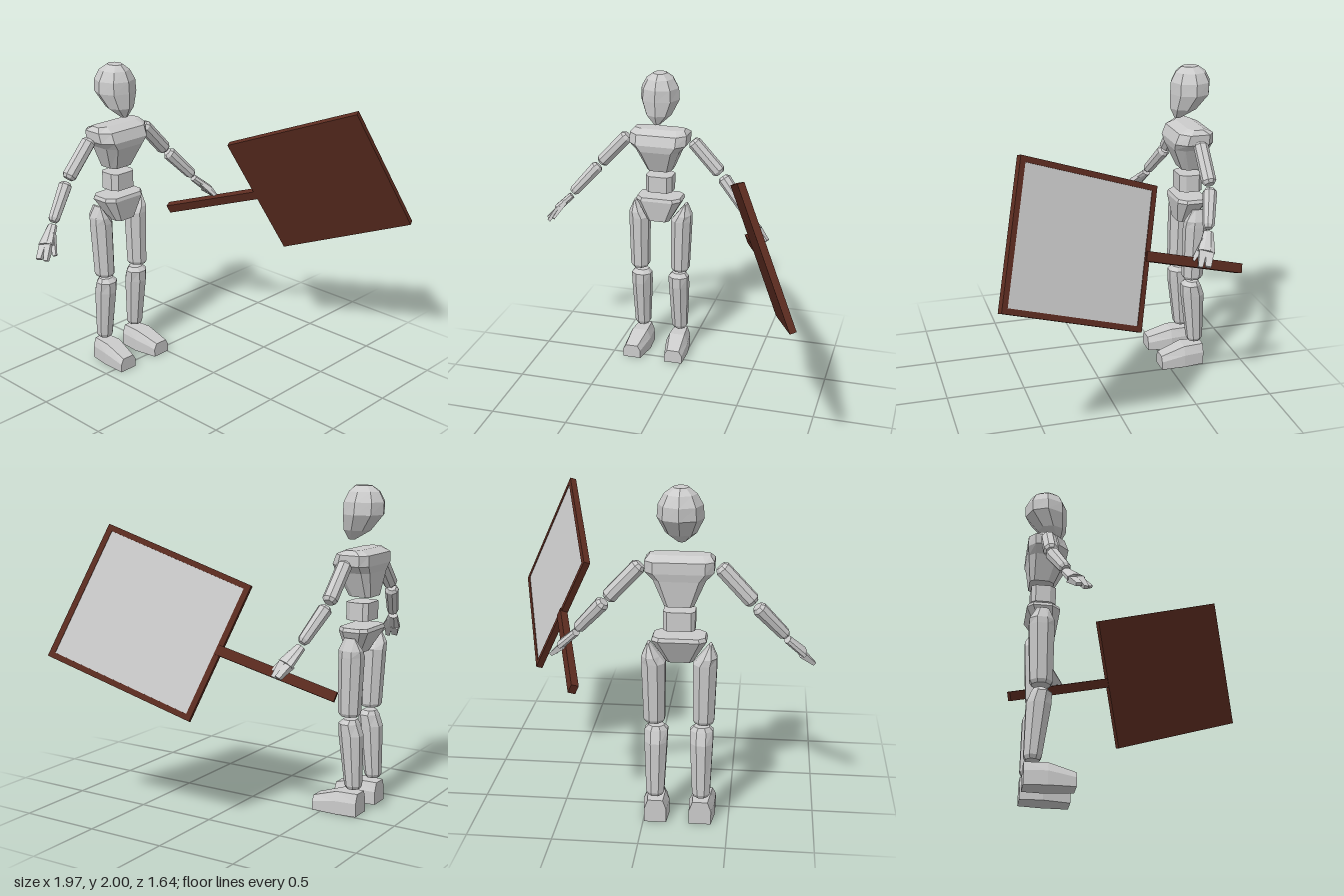
import * as THREE from 'three';

const grey = new THREE.MeshStandardMaterial({ color: 0xcccccc, flatShading: true });
const wood = new THREE.MeshStandardMaterial({ color: 0x5c2c20, flatShading: true });

// Cross-sections in x/z, scaled by each ring
const OCT = [[1, .41], [.41, 1], [-.41, 1], [-1, .41], [-1, -.41], [-.41, -1], [.41, -1], [1, -.41]];
const TORSO = [[1, .5], [.7, 1], [-.7, 1], [-1, .5], [-1, -.65], [-.75, -1], [.75, -1], [1, -.65]];
const BOX = [[1, 1], [-1, 1], [-1, -1], [1, -1]];
const FOOT = [[-1, 0], [-1, -.6], [-.68, -1], [.68, -1], [1, -.6], [1, 0]];
const ROUND = Array.from({ length: 8 }, (_, i) => [Math.cos(i * Math.PI / 4), Math.sin(i * Math.PI / 4)]);

// Closed loft through rings [y, halfX, halfZ, centreX, centreZ]
function loft(name, section, rings) {
  const n = section.length, pos = [], idx = [];
  for (const [y, hx, hz, cx = 0, cz = 0] of rings)
    for (const [x, z] of section) pos.push(cx + x * hx, y, cz + z * hz);
  for (let r = 0; r < rings.length - 1; r++)
    for (let i = 0; i < n; i++) {
      const a = r * n + i, b = r * n + (i + 1) % n;
      idx.push(a, a + n, b, b, a + n, b + n);
    }
  const top = (rings.length - 1) * n;
  for (let i = 1; i < n - 1; i++) idx.push(0, i, i + 1, top, top + i + 1, top + i);
  const g = new THREE.BufferGeometry();
  g.setAttribute('position', new THREE.Float32BufferAttribute(pos, 3));
  g.setIndex(idx);
  const flat = g.toNonIndexed();
  flat.computeVertexNormals();
  const mesh = new THREE.Mesh(flat, grey);
  mesh.name = name;
  return mesh;
}

// Place an object at p with its y axis towards q and its z axis near hint
function aim(obj, p, q, hint) {
  const y = q.clone().sub(p).normalize();
  const z = hint.clone().addScaledVector(y, -hint.dot(y)).normalize();
  const x = new THREE.Vector3().crossVectors(y, z);
  obj.quaternion.setFromRotationMatrix(new THREE.Matrix4().makeBasis(x, y, z));
  obj.position.copy(p);
  return obj;
}

function box(name, size, at, material) {
  const mesh = new THREE.Mesh(new THREE.BoxGeometry(...size), material);
  mesh.name = name;
  mesh.position.set(...at);
  return mesh;
}

function createSide(s) {
  const side = new THREE.Group();
  side.name = s > 0 ? 'leftLimbs' : 'rightLimbs';
  const V = (x, y, z) => new THREE.Vector3(s * x, y, z);

  // Leg
  side.add(loft('thigh', OCT, [
    [.62, .05, .054, s * .143, -.655], [.64, .061, .066, s * .143, -.655],
    [.99, .068, .075, s * .148, -.665], [1.03, .052, .072, s * .163, -.667],
    [1.105, .008, .035, s * .177, -.665]]));
  side.add(loft('shin', OCT, [
    [.163, .04, .04, s * .135, -.685], [.185, .052, .051, s * .135, -.685],
    [.5, .066, .072, s * .133, -.663], [.572, .067, .06, s * .132, -.65],
    [.598, .045, .04, s * .132, -.658]]));
  const foot = loft('foot', FOOT, [
    [-.735, .065, .14, s * .132], [-.6, .078, .14, s * .136], [-.44, .062, .09, s * .15]]);
  foot.rotation.x = Math.PI / 2;
  side.add(foot);

  // Arm segments with bevelled ends
  const limb = (name, p, q, r0, r1) => {
    const L = p.distanceTo(q);
    side.add(aim(loft(name, OCT, [
      [0, r0 * .65, r0 * .65], [.02, r0, r0], [L - .02, r1, r1], [L, r1 * .65, r1 * .65]]),
    p, q, new THREE.Vector3(0, 0, 1)));
  };
  limb('upperArm', V(.222, 1.56, -.652), V(.415, 1.352, -.648), .043, .043);
  limb('forearm', V(.432, 1.33, -.645), V(.6, 1.14, -.578), .041, .034);

  // Hand: palm, two finger blocks and thumb
  const hint = V(-.35, .3, .85);
  const block = (name, section, p, q, t0, w0, t1, w1) => {
    const L = p.distanceTo(q);
    side.add(aim(loft(name, section, [[0, t0, w0], [L, t1, w1]]), p, q, hint));
  };
  block('palm', OCT, V(.607, 1.118, -.576), V(.7, 1.03, -.53), .022, .03, .024, .052);
  block('fingers', BOX, V(.69, 1.03, -.555), V(.765, .96, -.52), .02, .026, .01, .018);
  block('fingers', BOX, V(.685, 1.04, -.515), V(.745, .955, -.478), .02, .024, .01, .014);
  block('thumb', BOX, V(.645, 1.08, -.54), V(.7, .985, -.447), .016, .022, .008, .011);
  return side;
}

function createFigure() {
  const figure = new THREE.Group();
  figure.name = 'figure';
  figure.position.x = -.204;
  figure.add(loft('head', ROUND, [
    [1.675, .022, .022, 0, -.578], [1.735, .088, .088, 0, -.615], [1.83, .132, .13, 0, -.653],
    [1.905, .126, .13, 0, -.656], [1.965, .092, .1, 0, -.655], [2, .045, .055, 0, -.65]]));
  figure.add(loft('chest', TORSO, [
    [1.34, .083, .073, 0, -.668], [1.49, .148, .115, 0, -.642], [1.535, .192, .123, 0, -.643],
    [1.6, .194, .11, 0, -.655], [1.628, .17, .05, 0, -.655]]));
  figure.add(loft('waist', TORSO, [
    [1.195, .09, .075, 0, -.655], [1.305, .09, .075, 0, -.655]]));
  figure.add(loft('pelvis', TORSO, [
    [.99, .075, .05, 0, -.625], [1.135, .157, .1, 0, -.655], [1.157, .148, .093, 0, -.655]]));
  figure.add(createSide(1), createSide(-1));
  return figure;
}

function createPaddle() {
  const paddle = new THREE.Group();
  paddle.name = 'framedPanel';
  const W = .945, H = .862, T = .04, B = .034;

  // Tilted panel: local x runs away from the handle, local z is the grey face
  const panel = new THREE.Group();
  panel.name = 'panel';
  panel.position.set(.678, 1.223, .29);
  const x = new THREE.Vector3(.238, .35, .906).normalize();
  const z = new THREE.Vector3(.88, .32, -.35);
  z.addScaledVector(x, -z.dot(x)).normalize();
  const y = new THREE.Vector3().crossVectors(z, x);
  panel.quaternion.setFromRotationMatrix(new THREE.Matrix4().makeBasis(x, y, z));
  panel.add(box('backBoard', [W - B, H - B, .024], [0, 0, -T / 2 + .012], wood));
  panel.add(box('face', [W - 2 * B, H - 2 * B, .012], [0, 0, .01], grey));
  for (const s of [-1, 1]) {
    panel.add(box('frameLong', [W, B, T], [0, s * (H - B) / 2, 0], wood));
    panel.add(box('frameShort', [B, H - 2 * B, T], [s * (W - B) / 2, 0, 0], wood));
  }
  paddle.add(panel);

  // Handle
  const p = new THREE.Vector3(.388, .85, -.797), q = new THREE.Vector3(.571, 1.079, -.12);
  const L = p.distanceTo(q);
  const handle = new THREE.Group();
  handle.name = 'handle';
  handle.add(box('handleBar', [.06, L, .045], [0, L / 2, 0], wood));
  paddle.add(aim(handle, p, q, z));
  return paddle;
}

export function createModel() {
  const model = new THREE.Group();
  model.name = 'mannequinWithPanel';
  model.add(createFigure(), createPaddle());
  return model;
}
